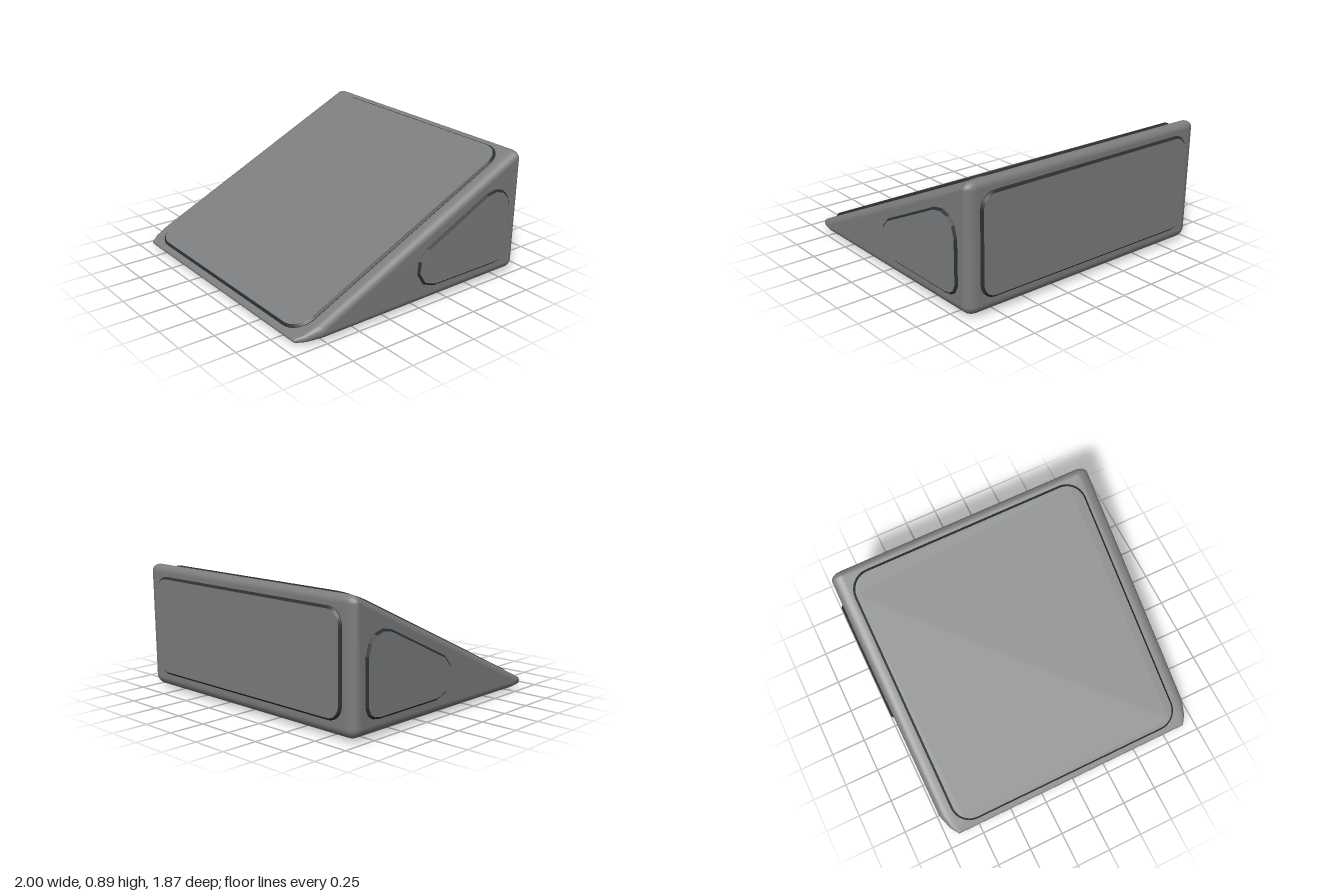
import * as THREE from 'three';
import { mergeVertices } from 'three/addons/utils/BufferGeometryUtils.js';
import { ConvexGeometry } from 'three/addons/geometries/ConvexGeometry.js';

const grey = new THREE.MeshStandardMaterial({ color: 0x7c7d7e, name: 'grey' });
const dark = new THREE.MeshStandardMaterial({ color: 0x2b2e30, name: 'darkTrim' });

// Rounded wedge: hull of mirrored ellipsoids, [x, y, z, rx, ry, rz]
function wedgeBody() {
  const corners = [
    [0.905, 0.09, -0.845, 0.08, 0.07, 0.07],   // back bottom
    [0.905, 0.84, -0.87, 0.08, 0.05, 0.045],   // back top
    [0.935, 0.07, 0.76, 0.05, 0.05, 0.05],     // where the front starts to taper
    [0.925, 0.048, 0.861, 0.028, 0.028, 0.028],
    [0.9, 0.035, 0.92, 0.015, 0.015, 0.015],   // front tip
  ];
  const ball = new THREE.SphereGeometry(1, 24, 16).getAttribute('position');
  const points = [];
  for (const [x, y, z, rx, ry, rz] of corners) {
    for (const side of [-1, 1]) {
      for (let i = 0; i < ball.count; i++) {
        points.push(new THREE.Vector3(
          side * (x + ball.getX(i) * rx), y + ball.getY(i) * ry, z + ball.getZ(i) * rz));
      }
    }
  }
  const hull = new ConvexGeometry(points);
  hull.deleteAttribute('normal');
  const geometry = mergeVertices(hull, 1e-4);
  geometry.computeVertexNormals();
  return geometry;
}

function roundedRect(w, h, r) {
  const s = new THREE.Shape();
  const x = w / 2, y = h / 2;
  s.moveTo(-x + r, -y);
  s.lineTo(x - r, -y);
  s.absarc(x - r, -y + r, r, -Math.PI / 2, 0);
  s.lineTo(x, y - r);
  s.absarc(x - r, y - r, r, 0, Math.PI / 2);
  s.lineTo(-x + r, y);
  s.absarc(-x + r, y - r, r, Math.PI / 2, Math.PI);
  s.lineTo(-x, -y + r);
  s.absarc(-x + r, -y + r, r, Math.PI, Math.PI * 1.5);
  return s;
}

// Raised panel with a grey face and dark bevelled rim; its face lies at local z = 0
function panel(name, shape, position, rx, ry) {
  const geometry = new THREE.ExtrudeGeometry(shape, {
    depth: 0.01, bevelEnabled: true, bevelSegments: 1,
    bevelSize: 0.015, bevelThickness: 0.013, bevelOffset: -0.015, curveSegments: 6,
  });
  geometry.translate(0, 0, -0.023);
  const mesh = new THREE.Mesh(geometry, [grey, dark]);
  mesh.name = name;
  mesh.position.set(...position);
  mesh.rotation.set(rx, ry, 0);
  return mesh;
}

// Side panel outline as [z, y]
const sideOutline = [
  [0.013, 0.24], [0.003, 0.33], [-0.065, 0.403], [-0.59, 0.655], [-0.67, 0.67],
  [-0.74, 0.65], [-0.79, 0.6], [-0.815, 0.52], [-0.815, 0.21], [-0.79, 0.155],
  [-0.75, 0.13], [-0.69, 0.12], [-0.135, 0.12], [-0.04, 0.155],
];

export function createModel() {
  const model = new THREE.Group();
  model.name = 'wedge';

  const body = new THREE.Mesh(wedgeBody(), grey);
  body.name = 'body';
  model.add(body);

  model.add(
    panel('slopePanel', roundedRect(1.78, 1.918, 0.15), [0, 0.486, 0.0375], -1.131, 0),
    panel('bottomPanel', roundedRect(1.77, 1.71, 0.15), [0, 0, 0.035], Math.PI / 2, 0),
    panel('backPanel', roundedRect(1.78, 0.695, 0.11), [0, 0.4675, -0.933], 0, Math.PI),
  );

  for (const side of [-1, 1]) {
    const shape = new THREE.Shape(sideOutline.map(([z, y]) => new THREE.Vector2(-side * z, y)));
    model.add(panel(side > 0 ? 'leftPanel' : 'rightPanel', shape, [side, 0, 0], 0, side * Math.PI / 2));
  }
  return model;
}
